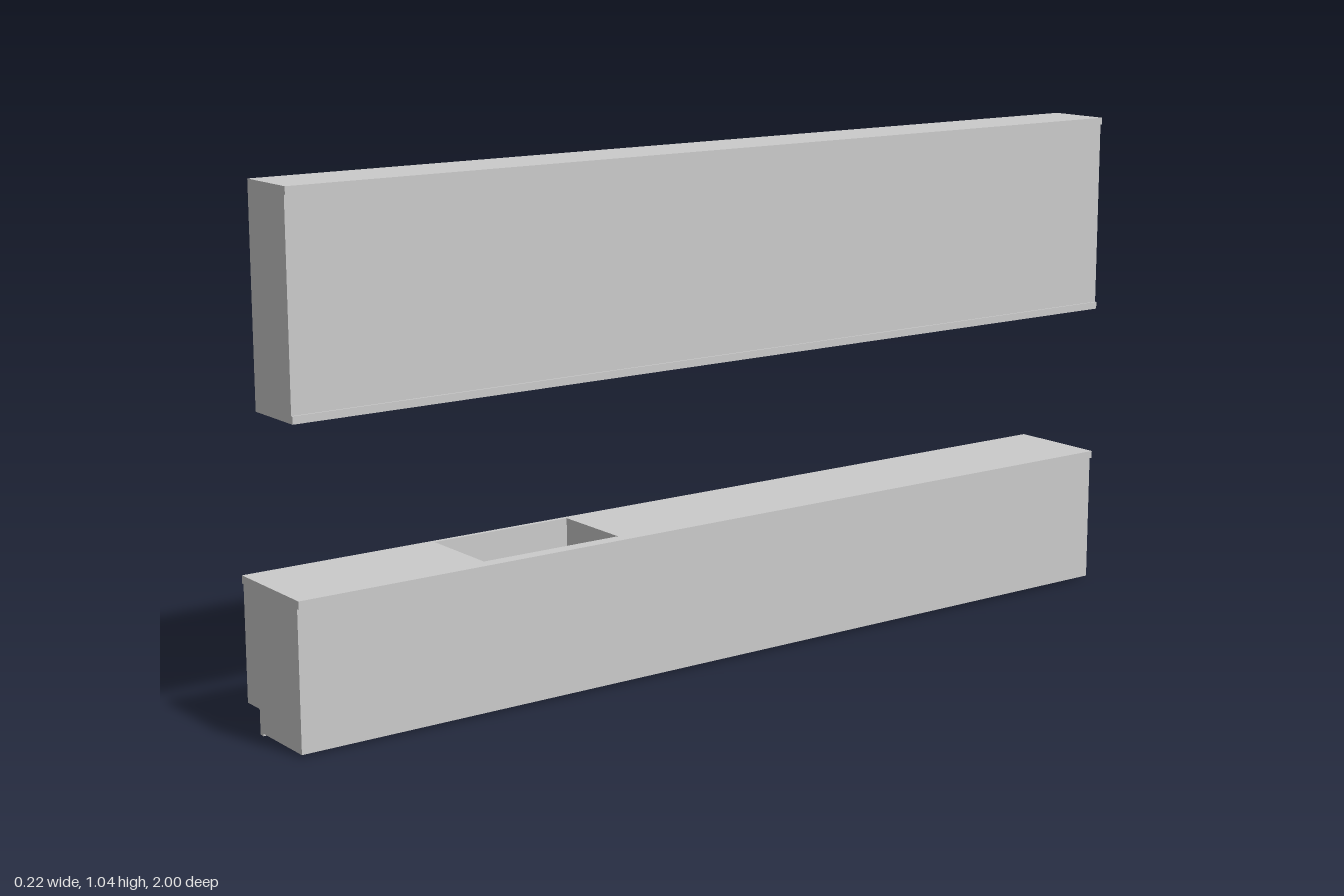
import * as THREE from 'three';

const grey = new THREE.MeshStandardMaterial({ color: 0xcccccc, flatShading: true });
const MODULES = 9;
const LENGTH = 2;
const WIDTH = LENGTH / MODULES;

// Box given by its extents on each axis
function block(name, [x0, x1], [y0, y1], [z0, z1]) {
  const mesh = new THREE.Mesh(new THREE.BoxGeometry(x1 - x0, y1 - y0, z1 - z0), grey);
  mesh.name = name;
  mesh.position.set((x0 + x1) / 2, (y0 + y1) / 2, (z0 + z1) / 2);
  return mesh;
}

function group(name, ...parts) {
  const g = new THREE.Group();
  g.name = name;
  if (parts.length) g.add(...parts);
  return g;
}

// Rectangle in plan, from x and z extents
function planPoints([x0, x1], [z0, z1]) {
  return [[x0, -z1], [x1, -z1], [x1, -z0], [x0, -z0]].map(([x, y]) => new THREE.Vector2(x, y));
}

// Horizontal slab or ring between two heights
function slab(name, x, z, [y0, y1], holeX, holeZ) {
  const shape = new THREE.Shape(planPoints(x, z));
  shape.holes.push(new THREE.Path(planPoints(holeX, holeZ).reverse()));
  const geo = new THREE.ExtrudeGeometry(shape, { depth: y1 - y0, bevelEnabled: false });
  geo.rotateX(-Math.PI / 2).translate(0, y0, 0);
  const mesh = new THREE.Mesh(geo, grey);
  mesh.name = name;
  return mesh;
}

// End panel with the toe recess cut out
function baseGable(name, z0, thickness) {
  const shape = new THREE.Shape([
    [-0.1, 0.05], [-0.05, 0.05], [-0.05, 0.005], [0.103, 0.005], [0.103, 0.28], [-0.1, 0.28],
  ].map(([x, y]) => new THREE.Vector2(x, y)));
  const geo = new THREE.ExtrudeGeometry(shape, { depth: thickness, bevelEnabled: false });
  const mesh = new THREE.Mesh(geo, grey);
  mesh.name = name;
  mesh.position.z = z0;
  return mesh;
}

function baseCabinets() {
  const run = group('baseCabinets');
  for (let i = 0; i < MODULES; i++) {
    const z = [-1 + i * WIDTH, -1 + (i + 1) * WIDTH];
    run.add(group(`baseCabinet${i + 1}`,
      block('door', [-0.104, -0.1], [0.05, 0.28], z),
      block('backPanel', [0.095, 0.103], [0.005, 0.28], z),
      block('floorPanel', [-0.05, 0.095], [0.005, 0.013], z),
      block('recessCeiling', [-0.1, -0.05], [0.05, 0.058], z),
      block('toeKick', [-0.057, -0.045], [0, 0.05], z)));
  }
  run.add(baseGable('frontGable', 0.992, 0.008), baseGable('backGable', -1, 0.008));
  return run;
}

function createWorktop() {
  const sinkX = [-0.099, 0.08], sinkZ = [0.28, 0.59], t = 0.001;
  const outerX = [sinkX[0] - t, sinkX[1] + t], outerZ = [sinkZ[0] - t, sinkZ[1] + t];
  return group('worktopWithSink',
    slab('worktop', [-0.109, 0.109], [-1, 1], [0.28, 0.296], sinkX, sinkZ),
    slab('sinkWalls', outerX, outerZ, [0.212, 0.28], sinkX, sinkZ),
    block('sinkFloor', outerX, [0.208, 0.212], outerZ));
}

function wallCabinets() {
  const run = group('wallCabinets');
  for (let i = 0; i < MODULES; i++) {
    run.add(block(`wallCabinet${i + 1}`, [-0.03, 0.105], [0.635, 1.028],
      [-1 + i * WIDTH, -1 + (i + 1) * WIDTH]));
  }
  // Overhanging boards above and below
  run.add(block('topBoard', [-0.03, 0.109], [1.028, 1.043], [-1, 1]));
  run.add(block('bottomBoard', [-0.03, 0.109], [0.62, 0.635], [-1, 1]));
  return run;
}

export function createModel() {
  return group('kitchenRun', baseCabinets(), createWorktop(), wallCabinets());
}
